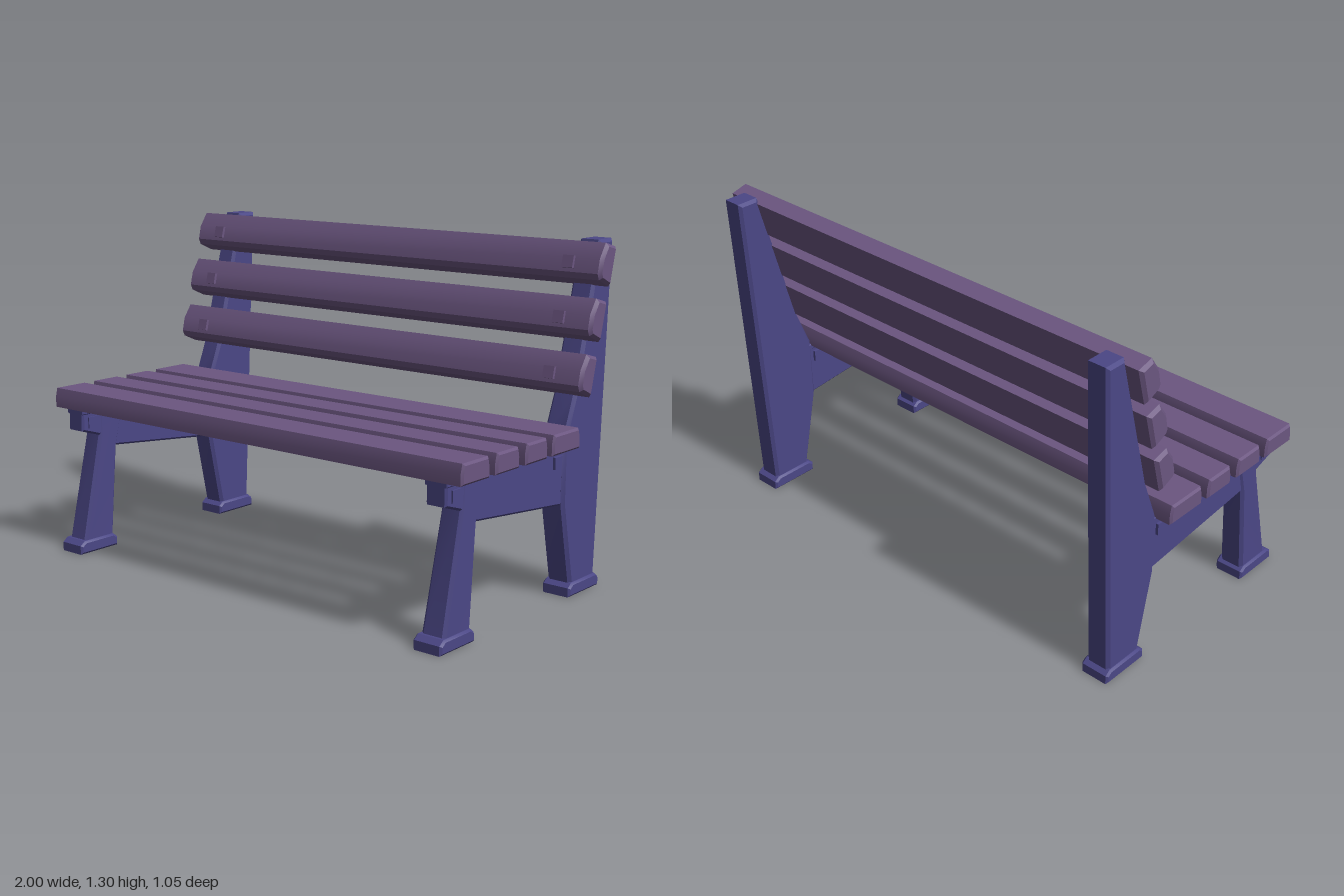
import * as THREE from 'three';
import { toCreasedNormals } from 'three/addons/utils/BufferGeometryUtils.js';

// Extrudes a [z, y] outline along x, centred on x = 0, with bevelled edges
function slab(points, width, bevel) {
  const shape = new THREE.Shape(points.map(([z, y]) => new THREE.Vector2(z, y)));
  const geo = new THREE.ExtrudeGeometry(shape, {
    depth: width - 2 * bevel, bevelEnabled: true, bevelSize: bevel,
    bevelThickness: bevel, bevelOffset: -bevel, bevelSegments: 1,
  });
  geo.translate(0, 0, bevel - width / 2);
  geo.rotateY(-Math.PI / 2);
  return geo;
}

// Narrows a part in x towards height y1
function taper(geo, y0, y1, scale) {
  const p = geo.attributes.position;
  for (let i = 0; i < p.count; i++) {
    const t = THREE.MathUtils.clamp((p.getY(i) - y0) / (y1 - y0), 0, 1);
    p.setX(i, p.getX(i) * (1 + (scale - 1) * t));
  }
  return geo;
}

export function createModel() {
  const model = new THREE.Group();
  model.name = 'bench';
  const wood = new THREE.MeshStandardMaterial({ color: 0x6b5680 });
  wood.name = 'mauve slats';
  const iron = new THREE.MeshStandardMaterial({ color: 0x4b4786 });
  iron.name = 'indigo frame';

  const add = (parent, name, geo, mat, x = 0) => {
    const mesh = new THREE.Mesh(toCreasedNormals(geo, 0.5), mat);
    mesh.name = name;
    mesh.position.x = x;
    parent.add(mesh);
    return mesh;
  };

  // Seat slats: [back z, front z]
  for (const [a, b] of [[-0.228, -0.05], [-0.015, 0.12], [0.16, 0.3], [0.337, 0.497]]) {
    add(model, 'seatSlat', slab([
      [a, 0.582], [b, 0.582], [b, 0.625], [b - 0.008, 0.658], [a + 0.008, 0.658], [a, 0.625],
    ], 2, 0.008), wood);
  }

  // Back slats, leaning with the posts, each with two square bolt caps
  const slat = [[-0.376, 1.303], [-0.442, 1.285], [-0.403, 1.143], [-0.336, 1.172], [-0.326, 1.195], [-0.339, 1.25]];
  for (let i = 0; i < 3; i++) {
    const dz = 0.054 * i, dy = -0.194 * i;
    add(model, 'backSlat', slab(slat.map(([z, y]) => [z + dz, y + dy]), 2, 0.012), wood);
    for (const s of [-1, 1]) {
      const cap = add(model, 'boltCap', new THREE.BoxGeometry(0.045, 0.045, 0.04), wood, s * 0.865);
      cap.position.set(s * 0.865, 1.228 + dy, -0.342 + dz);
      cap.rotation.x = -0.25;
    }
  }

  // Two matching end frames
  for (const s of [-1, 1]) {
    const frame = new THREE.Group();
    frame.name = s > 0 ? 'leftFrame' : 'rightFrame';
    frame.position.x = s * 0.888;
    model.add(frame);

    // Rear post and leg in one sweep
    add(frame, 'rearPost', taper(slab([
      [-0.46, 0.03], [-0.525, 1.305], [-0.435, 1.305], [-0.29, 0.755],
      [-0.228, 0.6], [-0.225, 0.36], [-0.295, 0.03],
    ], 0.1, 0.012), 0.4, 1.3, 0.92), iron);

    // Front leg with its bent shoulder
    add(frame, 'frontLeg', taper(slab([
      [0.5, 0.03], [0.4, 0.47], [0.4, 0.57], [0.27, 0.57], [0.31, 0.41], [0.345, 0.03],
    ], 0.1, 0.012), 0.05, 0.5, 0.88), iron);

    // Seat rail with a flat flange under the slats
    add(frame, 'seatRail', slab([
      [0.4, 0.57], [0.385, 0.45], [0.31, 0.412], [-0.225, 0.357], [-0.27, 0.4], [-0.27, 0.57],
    ], 0.075, 0.008), iron);
    add(frame, 'railFlange', slab([[0.49, 0.565], [0.49, 0.588], [-0.25, 0.588], [-0.25, 0.565]], 0.094, 0.004), iron);
    add(frame, 'frontBracket', slab([
      [0.488, 0.58], [0.488, 0.498], [0.395, 0.468], [0.36, 0.5], [0.36, 0.58],
    ], 0.085, 0.008), iron);

    // Square fixings on both faces of the rail
    for (const [z, y] of [[0.437, 0.53], [-0.19, 0.525]]) {
      add(frame, 'railFixing', new THREE.BoxGeometry(0.096, 0.045, 0.045), iron).position.set(0, y, z);
    }

    // Feet
    for (const [a, b] of [[0.332, 0.528], [-0.478, -0.272]]) {
      add(frame, 'foot', slab([
        [a, 0], [b, 0], [b, 0.035], [b - 0.022, 0.052], [a + 0.022, 0.052], [a, 0.035],
      ], 0.12, 0.008), iron);
    }
  }
  return model;
}
